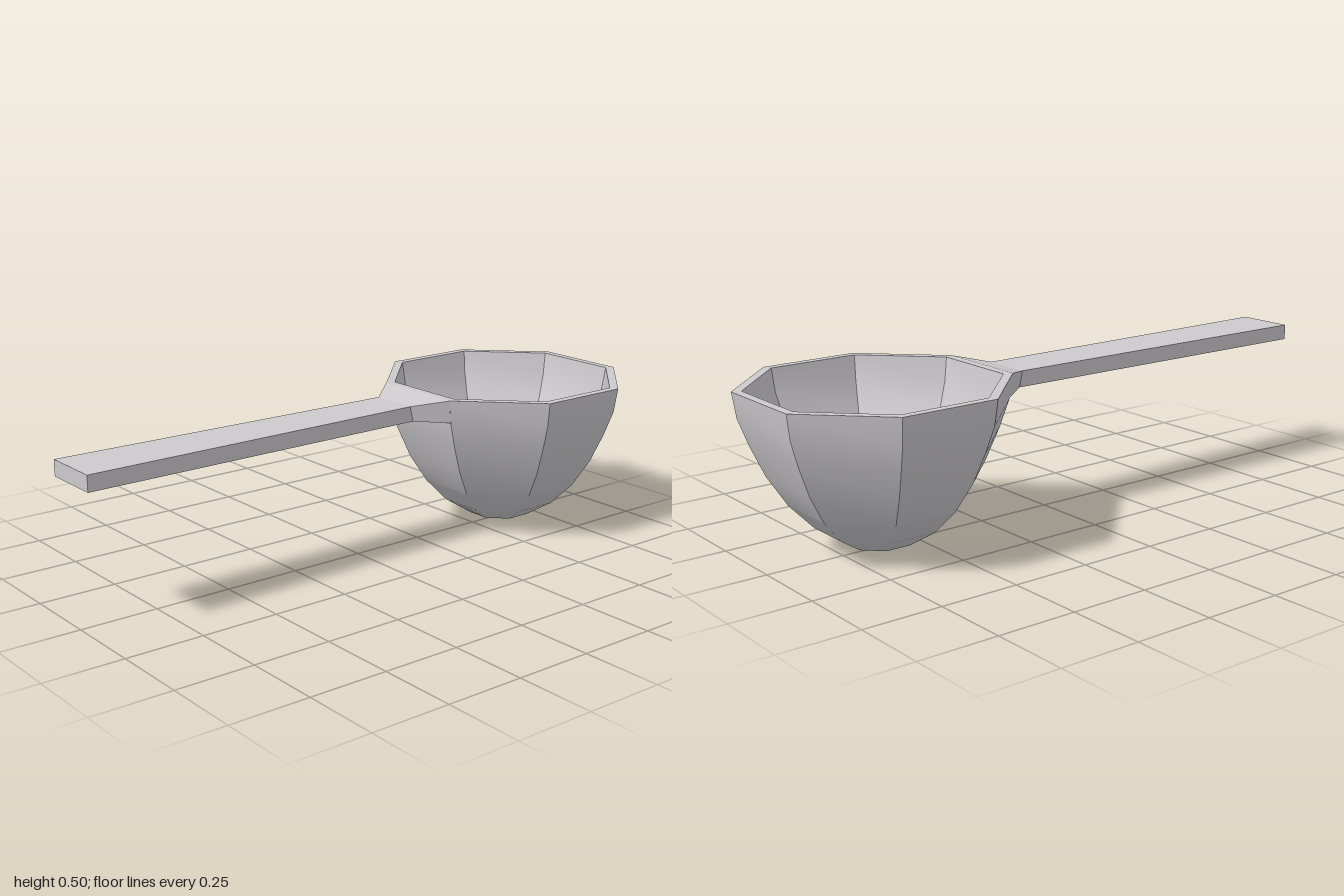
import * as THREE from 'three';
import { toCreasedNormals } from 'three/addons/utils/BufferGeometryUtils.js';

// Flat-sided bar lofted along +x through four-cornered sections, capped at both ends.
// Each section: top x/y/half-width, bottom x/y/half-width, z offset.
function loftBar(sections) {
  const rings = sections.map(({ top, bottom, z = 0 }) => [
    [top[0], top[1], z + top[2]],
    [top[0], top[1], z - top[2]],
    [bottom[0], bottom[1], z - bottom[2]],
    [bottom[0], bottom[1], z + bottom[2]],
  ]);
  const pos = [];
  const quad = (a, b, c, d) => pos.push(...a, ...b, ...c, ...a, ...c, ...d);
  for (let i = 0; i < rings.length - 1; i++) {
    const r = rings[i], s = rings[i + 1];
    for (let k = 0; k < 4; k++) {
      const n = (k + 1) % 4;
      quad(r[k], s[k], s[n], r[n]);
    }
  }
  const first = rings[0], last = rings[rings.length - 1];
  quad(first[0], first[1], first[2], first[3]);
  quad(last[3], last[2], last[1], last[0]);
  const geo = new THREE.BufferGeometry();
  geo.setAttribute('position', new THREE.Float32BufferAttribute(pos, 3));
  geo.computeVertexNormals();
  return geo;
}

export function createModel() {
  const group = new THREE.Group();
  group.name = 'scoop';

  const metal = new THREE.MeshStandardMaterial({ color: 0xcccacd });
  metal.name = 'light grey metal';

  // Eight-sided bowl: outer wall up to the rim, then inner wall back down.
  // Profile distances are measured to the flat sides.
  const outer = [[0, 0], [0.097, 0.021], [0.178, 0.075], [0.245, 0.15],
    [0.3, 0.243], [0.34, 0.34], [0.367, 0.42], [0.378, 0.5]];
  const inner = [[0.351, 0.5], [0.34, 0.425], [0.314, 0.35], [0.276, 0.258],
    [0.225, 0.172], [0.162, 0.102], [0.088, 0.052], [0, 0.032]];
  const profile = [...outer, ...inner].map(
    ([r, y]) => new THREE.Vector2(r / Math.cos(Math.PI / 8), y));
  const bowlGeo = new THREE.LatheGeometry(profile, 8, Math.PI / 8);
  const bowl = new THREE.Mesh(toCreasedNormals(bowlGeo, THREE.MathUtils.degToRad(35.5)), metal);
  bowl.name = 'bowl';
  bowl.position.x = 0.622;
  group.add(bowl);

  // Handle narrows towards the bowl, then flares into a neck as wide as one bowl side.
  const handle = new THREE.Mesh(loftBar([
    { top: [-1, 0.48, 0.095], bottom: [-1, 0.43, 0.095], z: -0.004 },
    { top: [0.15, 0.48, 0.079], bottom: [0.162, 0.43, 0.079], z: -0.003 },
    { top: [0.244, 0.5, 0.157], bottom: [0.257, 0.424, 0.153] },
  ]), metal);
  handle.name = 'handle';
  group.add(handle);

  return group;
}
